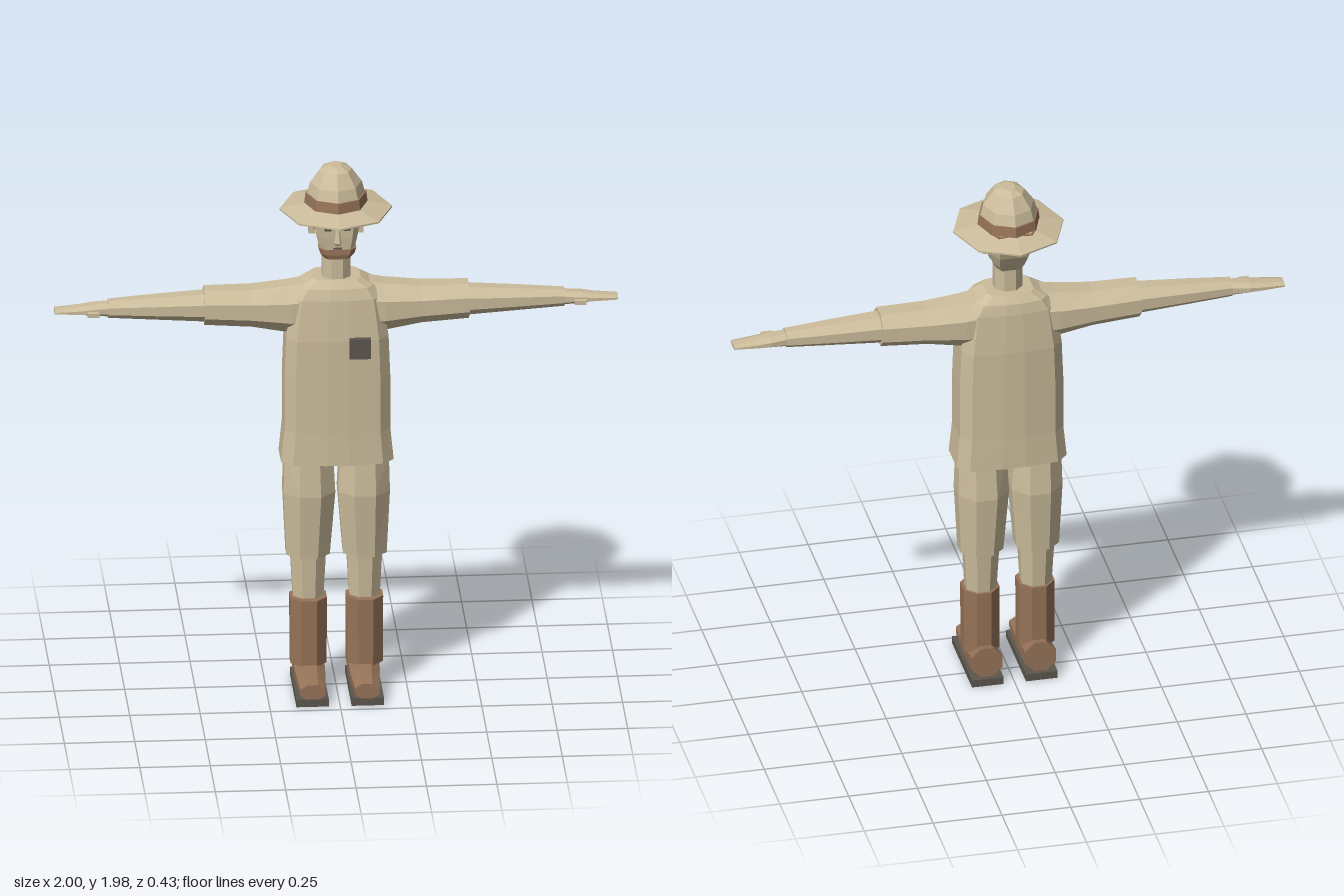
import * as THREE from 'three';

// Cross-sections, counter-clockwise, fitted to a half-width of 1
const octagon = (turn, size) => Array.from({ length: 8 }, (_, i) => {
  const a = (i + turn) * Math.PI / 4;
  return [Math.cos(a) * size, -Math.sin(a) * size];
});
const FLAT = octagon(0.5, 1 / Math.cos(Math.PI / 8));
const POINTED = octagon(0, 1);
const BOXY = [[1, -0.55], [0.7, -1], [-0.7, -1], [-1, -0.55], [-1, 0.55], [-0.7, 1], [0.7, 1], [1, 0.55]];
const TORSO = [[1, -0.55], [0.8, -0.9], [0.2, -1], [-0.2, -1], [-0.8, -0.9], [-1, -0.55],
  [-1, 0.55], [-0.8, 0.9], [-0.2, 1], [0.2, 1], [0.8, 0.9], [1, 0.55]];

// Ring = [position on axis, centre u, centre v, half-size u, half-size v]
// (u, v) is (x, z) on axis y, (z, y) on axis x and (y, x) on axis z
function loft(axis, section, rings) {
  const n = section.length, pos = [], index = [];
  const put = (u, t, v) => pos.push(...(axis === 'y' ? [u, t, v] : axis === 'x' ? [t, v, u] : [v, u, t]));
  for (const [t, cu, cv, ru, rv] of rings) for (const [u, v] of section) put(cu + u * ru, t, cv + v * rv);
  for (let r = 0; r < rings.length - 1; r++) {
    for (let i = 0; i < n; i++) {
      const a = r * n + i, b = r * n + (i + 1) % n;
      index.push(a, b, b + n, a, b + n, a + n);
    }
  }
  const top = (rings.length - 1) * n;
  for (let i = 1; i < n - 1; i++) index.push(0, i + 1, i, top, top + i, top + i + 1);
  const g = new THREE.BufferGeometry();
  g.setAttribute('position', new THREE.Float32BufferAttribute(pos, 3));
  g.setIndex(index);
  return g;
}

const box = (x, y, z, w, h, d) => new THREE.BoxGeometry(w, h, d).translate(x, y, z);

function mirror(geometry) {
  const g = geometry.clone().scale(-1, 1, 1), ix = g.index.array;
  for (let i = 0; i < ix.length; i += 3) [ix[i], ix[i + 1]] = [ix[i + 1], ix[i]];
  return g;
}

export function createModel() {
  const model = new THREE.Group();
  const material = (name, color) => Object.assign(new THREE.MeshStandardMaterial({ color }), { name });
  const khaki = material('khaki', 0xcbbc9b);
  const brown = material('brown leather', 0x967358);
  const dark = material('dark grey', 0x5c564d);

  const add = (name, geometry, mat) => {
    const g = geometry.toNonIndexed();
    g.computeVertexNormals();
    const mesh = new THREE.Mesh(g, mat);
    mesh.name = name;
    model.add(mesh);
  };
  const pair = (name, geometry, mat) => {
    add('left' + name, geometry, mat);
    add('right' + name, mirror(geometry), mat);
  };

  // Shirt body
  add('shirt', loft('y', TORSO, [
    [0.88, 0, 0.01, 0.2, 0.115], [1.0, 0, 0.01, 0.188, 0.112], [1.2, 0, 0.01, 0.188, 0.112],
    [1.35, 0, 0.01, 0.182, 0.112], [1.5, 0, 0.008, 0.16, 0.1],
    [1.54, 0, 0.006, 0.13, 0.09], [1.567, 0, 0.005, 0.085, 0.07],
  ]), khaki);
  add('chestBadge', box(0.077, 1.327, 0.128, 0.075, 0.075, 0.022), dark);

  // Arms
  pair('Sleeve', loft('x', FLAT, [
    [0.08, 0.006, 1.455, 0.085, 0.1], [0.17, 0.006, 1.45, 0.086, 0.088],
    [0.3, 0.006, 1.455, 0.079, 0.07], [0.47, 0.006, 1.46, 0.071, 0.064],
  ]), khaki);
  pair('Forearm', loft('x', FLAT, [
    [0.45, 0.007, 1.459, 0.06, 0.053], [0.65, 0.007, 1.459, 0.049, 0.041], [0.81, 0.007, 1.458, 0.036, 0.031],
  ]), khaki);
  pair('Hand', loft('x', FLAT, [
    [0.8, 0.007, 1.457, 0.033, 0.026], [0.87, 0.005, 1.457, 0.039, 0.02],
    [0.92, 0.005, 1.455, 0.037, 0.014], [1.0, 0.005, 1.453, 0.03, 0.007],
  ]), khaki);
  pair('Thumb', box(0.865, 1.452, 0.048, 0.042, 0.016, 0.03), khaki);

  // Legs
  pair('Shorts', loft('y', FLAT, [
    [0.51, 0.101, 0.003, 0.077, 0.074], [0.75, 0.097, 0.004, 0.092, 0.094], [0.9, 0.099, 0.004, 0.086, 0.08],
  ]), khaki);
  pair('Knee', loft('y', FLAT, [[0.33, 0.1, 0.006, 0.053, 0.05], [0.52, 0.1, 0.004, 0.063, 0.061]]), khaki);
  pair('BootShaft', loft('y', FLAT, [[0.1, 0.1, 0.015, 0.064, 0.069], [0.35, 0.1, 0.015, 0.065, 0.07]]), brown);
  pair('Shoe', loft('z', FLAT, [
    [-0.09, 0.086, 0.097, 0.057, 0.056], [0.07, 0.066, 0.097, 0.043, 0.054], [0.215, 0.054, 0.097, 0.028, 0.045],
  ]), brown);
  pair('Sole', box(0.098, 0.014, 0.055, 0.115, 0.028, 0.32), dark);

  // Neck and head
  add('neck', loft('y', FLAT, [[1.54, 0, 0.014, 0.05, 0.048], [1.7, 0, 0.014, 0.05, 0.046]]), khaki);
  add('head', loft('y', BOXY, [
    [1.655, 0, 0.022, 0.045, 0.062], [1.685, 0, 0.015, 0.062, 0.078],
    [1.735, 0, 0.002, 0.074, 0.095], [1.78, 0, -0.006, 0.08, 0.104], [1.84, 0, -0.006, 0.082, 0.104],
  ]), khaki);
  add('hair', loft('y', BOXY, [[1.782, 0, -0.038, 0.083, 0.077], [1.84, 0, -0.038, 0.086, 0.08]]), brown);
  pair('Sideburn', box(0.077, 1.778, 0.025, 0.012, 0.05, 0.025), brown);
  add('beard', loft('y', BOXY, [
    [1.655, 0, 0.058, 0.045, 0.035], [1.672, 0, 0.054, 0.06, 0.043], [1.692, 0, 0.054, 0.067, 0.042],
  ]), brown);
  pair('Ear', box(0.086, 1.75, -0.005, 0.022, 0.055, 0.03), khaki);

  // Face
  add('nose', loft('y', FLAT, [
    [1.712, 0, 0.096, 0.009, 0.012], [1.722, 0, 0.1, 0.013, 0.018], [1.772, 0, 0.095, 0.006, 0.007],
  ]), khaki);
  pair('Eye', box(0.034, 1.772, 0.098, 0.026, 0.011, 0.008), dark);
  pair('Eyebrow', box(0.034, 1.792, 0.1, 0.032, 0.006, 0.008), brown);
  add('mouth', box(0, 1.697, 0.094, 0.03, 0.006, 0.008), dark);

  // Hat: drooping brim, band and domed crown
  add('hatBrim', loft('y', POINTED, [
    [1.812, 0, 0, 0.2, 0.216], [1.818, 0, 0, 0.2, 0.216], [1.838, 0, 0, 0.115, 0.13],
  ]), khaki);
  add('hatBand', loft('y', POINTED, [[1.835, 0, -0.002, 0.113, 0.127], [1.875, 0, -0.002, 0.108, 0.121]]), brown);
  add('hatCrown', loft('y', POINTED, [
    [1.87, 0, -0.002, 0.104, 0.117], [1.915, 0, -0.002, 0.092, 0.102],
    [1.965, 0, -0.002, 0.056, 0.066], [1.98, 0, -0.002, 0.024, 0.034],
  ]), khaki);

  return model;
}
